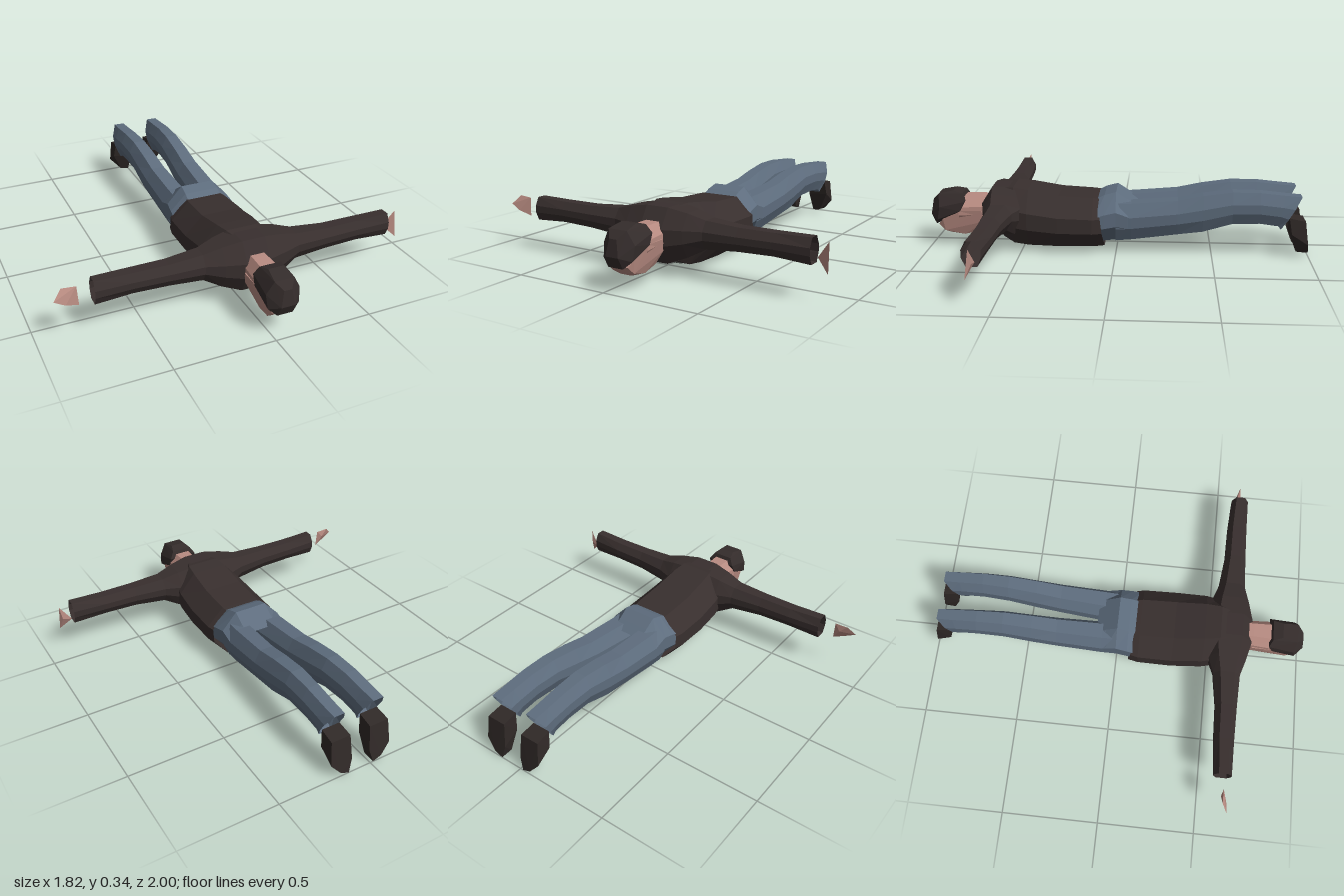
import * as THREE from 'three';
import { ConvexGeometry } from 'three/addons/geometries/ConvexGeometry.js';

const material = (name, color) => {
  const m = new THREE.MeshStandardMaterial({ color, flatShading: true, side: THREE.DoubleSide });
  m.name = name;
  return m;
};

// Eight-sided section: [across, height] with across in -1..1 and height in 0..1
const SECTION = [[1, 0.35], [1, 0.65], [0.52, 1], [-0.52, 1], [-1, 0.65], [-1, 0.35], [-0.6, 0], [0.6, 0]];
const FLAT = [[1, 0], [1, 1], [-1, 1], [-1, 0]];

// Tube through rings [t, centre, halfWidth, yLow, yHigh, shear], t rising along z or x
function loft(rings, axis = 'z', section = SECTION) {
  const pos = [], index = [], n = section.length;
  for (const [t, c, hw, y0, y1, shear = 0] of rings) {
    for (const [a, h] of section) {
      const along = t + shear * (h - 0.5), across = c + hw * a, y = y0 + (y1 - y0) * h;
      pos.push(...(axis === 'z' ? [across, y, along] : [along, y, across]));
    }
  }
  for (let i = 0; i < rings.length - 1; i++) {
    for (let j = 0; j < n; j++) {
      const a = i * n + j, b = i * n + (j + 1) % n, c = a + n, d = b + n;
      if (axis === 'z') index.push(a, b, c, b, d, c);
      else index.push(a, c, b, b, c, d);
    }
  }
  const g = new THREE.BufferGeometry();
  g.setAttribute('position', new THREE.Float32BufferAttribute(pos, 3));
  g.setIndex(index);
  const flat = g.toNonIndexed();
  flat.computeVertexNormals();
  return flat;
}

// Faceted solid around points, optionally mirrored in x
function hull(points, mirror = false) {
  const v = points.map(p => new THREE.Vector3(...p));
  if (mirror) v.push(...points.map(([x, y, z]) => new THREE.Vector3(-x, y, z)));
  return new ConvexGeometry(v);
}

export function createModel() {
  const model = new THREE.Group();
  model.name = 'proneFigure';
  const body = new THREE.Group();
  body.name = 'body';
  body.position.x = 0.053;
  model.add(body);

  const jacket = material('jacketBrown', 0x382f2e);
  const denim = material('denimBlue', 0x5e6d7e);
  const skin = material('skin', 0xb98c82);
  const hair = material('hairDark', 0x342c2b);
  const shoe = material('shoeDark', 0x302927);
  const shirt = material('shirtGrey', 0x3f423f);

  const add = (name, geometry, mat, parent = body) => {
    const mesh = new THREE.Mesh(geometry, mat);
    mesh.name = name;
    parent.add(mesh);
    return mesh;
  };

  // Jacket: trunk, then one hollow tube across shoulders and both sleeves
  add('jacketTrunk', loft([
    [0.075, 0, 0.185, 0.035, 0.287, 0.03],
    [0.12, 0, 0.195, 0.03, 0.29],
    [0.3, 0, 0.197, 0.027, 0.3],
    [0.46, 0, 0.188, 0.03, 0.328],
    [0.54, 0, 0.17, 0.037, 0.337],
    [0.6, 0, 0.13, 0.065, 0.328],
  ]), jacket);
  const arm = [
    [0.06, 0.59, 0.125, 0.065, 0.333],
    [0.16, 0.59, 0.1, 0.105, 0.315],
    [0.25, 0.592, 0.07, 0.155, 0.29],
    [0.42, 0.6, 0.056, 0.17, 0.28],
    [0.6, 0.6, 0.052, 0.175, 0.28],
    [0.78, 0.606, 0.045, 0.165, 0.285],
  ];
  const otherArm = arm.map(([x, ...rest]) => [-x, ...rest]).reverse();
  add('shouldersAndSleeves', loft([...otherArm, ...arm], 'x'), jacket);

  // Shirt strip in the jacket opening
  add('shirtFront', loft([
    [0.07, 0, 0.05, 0.029, 0.034],
    [0.3, 0, 0.055, 0.022, 0.027],
    [0.46, 0, 0.055, 0.025, 0.03],
    [0.54, 0, 0.05, 0.032, 0.037],
    [0.61, 0, 0.04, 0.06, 0.066],
  ], 'z', FLAT), shirt);

  // Head
  add('neck', loft([
    [0.62, 0, 0.07, 0.12, 0.27],
    [0.72, 0, 0.07, 0.13, 0.272],
    [0.84, 0, 0.078, 0.12, 0.27],
  ]), skin);
  add('face', hull([
    [0.055, 0.12, 0.955], [0.06, 0.085, 0.92], [0.03, 0.066, 0.9], [0.045, 0.06, 0.82],
    [0.04, 0.08, 0.73], [0.065, 0.14, 0.7], [0.076, 0.2, 0.72], [0.078, 0.2, 0.83], [0.07, 0.15, 0.93],
  ], true), skin);
  add('hair', hull([
    [0.035, 0.17, 0.998], [0.02, 0.25, 0.985], [0.08, 0.15, 0.955], [0.086, 0.22, 0.94],
    [0.05, 0.285, 0.95], [0.04, 0.302, 0.87], [0.055, 0.29, 0.82], [0.08, 0.25, 0.805],
    [0.083, 0.2, 0.83], [0.04, 0.115, 0.972],
  ], true), hair);

  // Trousers: hips, then two open legs
  add('hips', loft([
    [-0.11, 0, 0.165, 0.085, 0.25],
    [-0.06, 0, 0.168, 0.077, 0.283],
    [0, 0, 0.17, 0.066, 0.322],
    [0.06, 0, 0.175, 0.06, 0.305],
    [0.11, 0, 0.178, 0.06, 0.28],
  ]), denim);
  for (const [side, s] of [['left', 1], ['right', -1]]) {
    add(side + 'TrouserLeg', loft([
      [-0.9, s * 0.108, 0.054, 0.15, 0.323, -0.1],
      [-0.85, s * 0.108, 0.056, 0.168, 0.33, -0.03],
      [-0.74, s * 0.107, 0.058, 0.18, 0.342],
      [-0.6, s * 0.103, 0.062, 0.175, 0.342],
      [-0.45, s * 0.1, 0.066, 0.13, 0.32],
      [-0.32, s * 0.097, 0.07, 0.113, 0.292],
      [-0.08, s * 0.091, 0.077, 0.08, 0.272],
      [0, s * 0.088, 0.078, 0.072, 0.27],
    ]), denim);
    // Shoe hanging toe-down behind the hem
    add(side + 'Shoe', hull([
      [0.058, 0.215, -0.89], [0.155, 0.215, -0.89], [0.055, 0.2, -0.972], [0.158, 0.2, -0.972],
      [0.052, 0.12, -0.9], [0.165, 0.13, -0.905], [0.05, 0.07, -0.99], [0.165, 0.075, -0.99],
      [0.062, 0.012, -0.943], [0.11, 0.02, -0.94], [0.07, 0, -1], [0.115, 0.018, -1],
    ].map(([x, y, z]) => [s * x, y, z])), shoe);
  }

  // Hands, set apart from the cuffs
  add('rightHand', hull([
    [-0.912, 0.23, 0.637], [-0.87, 0.275, 0.61], [-0.8, 0.27, 0.612], [-0.795, 0.175, 0.62],
    [-0.86, 0.2, 0.638], [-0.83, 0.235, 0.604],
  ]), skin, model);
  add('leftHand', hull([
    [0.842, 0.19, 0.588], [0.9, 0.272, 0.602], [0.906, 0.13, 0.622], [0.89, 0.2, 0.592],
  ]), skin, model);

  return model;
}
